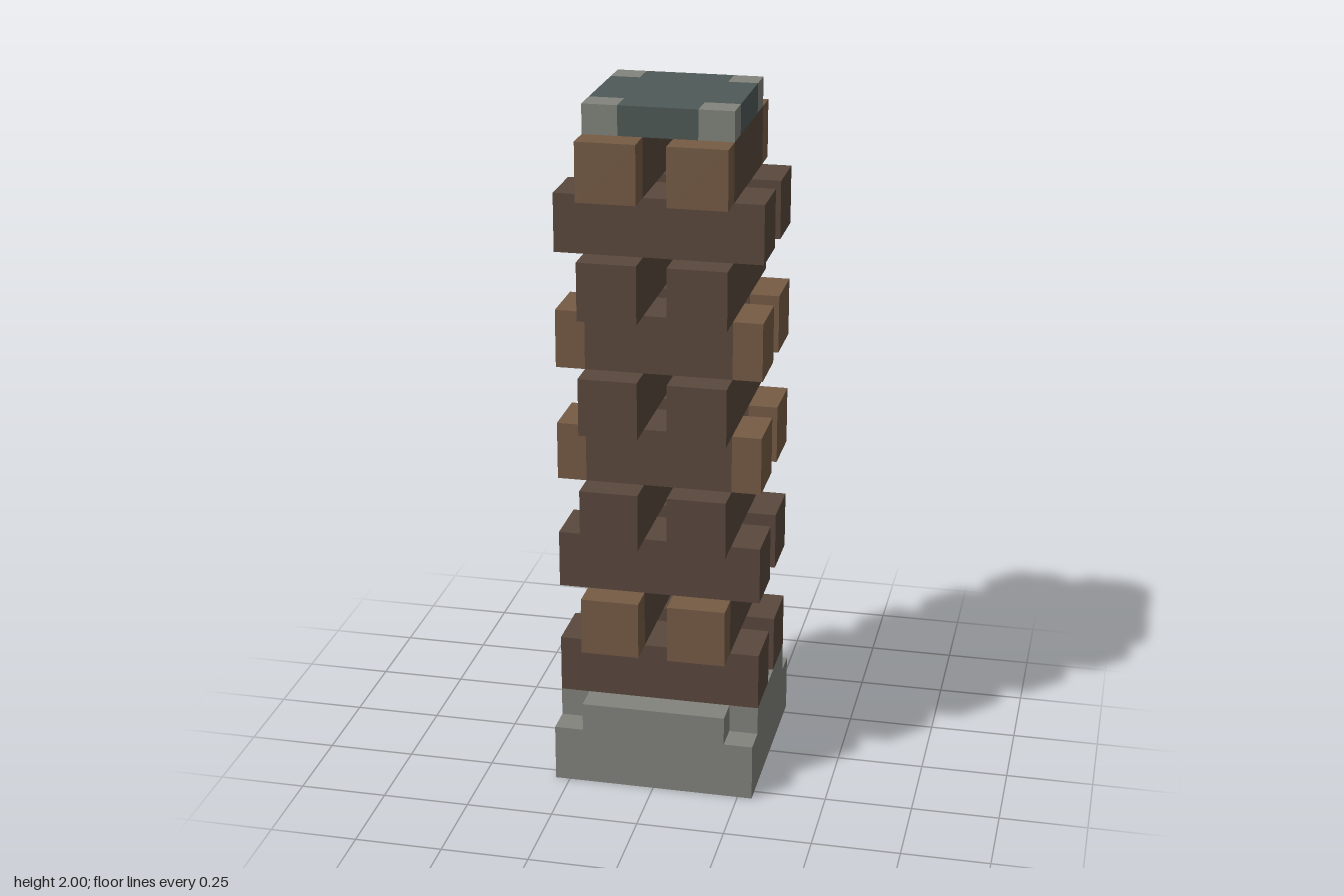
import * as THREE from 'three';

const U = 1 / 12; // building unit

function makeMaterial(name, color) {
  const m = new THREE.MeshStandardMaterial({ color });
  m.name = name;
  return m;
}

// Cross-shaped plate: rectangle of half size h with a notch at each corner.
// The notch starts at x = xf (front) or xb (back), and at |z| = zi.
function crossPlate(h, xf, xb, zi, height) {
  const s = new THREE.Shape([
    [-xf, -h], [xf, -h], [xf, -zi], [h, -zi], [h, zi], [xb, zi],
    [xb, h], [-xb, h], [-xb, zi], [-h, zi], [-h, -zi], [-xf, -zi],
  ].map(([x, y]) => new THREE.Vector2(x, y)));
  return new THREE.ExtrudeGeometry(s, { depth: height, bevelEnabled: false }).rotateX(-Math.PI / 2);
}

export function createModel() {
  const stone = makeMaterial('grey stone', 0x81837c);
  const slate = makeMaterial('dark slate', 0x4f5957);
  const bark = makeMaterial('dark wood', 0x5a483d);
  const cut = makeMaterial('light wood', 0x755b45);

  const root = new THREE.Group();
  root.name = 'stackedBeamPillar';

  const add = (parent, name, geometry, material, x, y, z) => {
    const mesh = new THREE.Mesh(geometry, material);
    mesh.name = name;
    mesh.position.set(x, y, z);
    parent.add(mesh);
  };
  const box = (parent, name, material, w, h, d, x, y, z) =>
    add(parent, name, new THREE.BoxGeometry(w, h, d), material, x, y, z);

  // Stone foot with notched upper corners
  box(root, 'footSlab', stone, 7 * U, 2 * U, 7 * U, 0, U, 0);
  add(root, 'footStep', crossPlate(3.5 * U, 2.5 * U, 2.5 * U, 2.5 * U, U), stone, 0, 2 * U, 0);

  // Crossed beam layers, bottom to top: direction and whether the ends are light
  const layers = [
    ['x', false], ['z', true], ['x', false], ['z', false], ['x', true],
    ['z', false], ['x', true], ['z', false], ['x', false], ['z', true],
  ];
  layers.forEach(([axis, lightEnds], i) => {
    const layer = new THREE.Group();
    layer.name = `beamLayer${i + 1}`;
    layer.position.y = (4 + 2 * i) * U;
    if (axis === 'z') layer.rotation.y = Math.PI / 2;
    for (const side of [-1, 1]) {
      const z = side * 1.5 * U;
      box(layer, 'beam', bark, (lightEnds ? 5 : 7) * U, 2 * U, 2 * U, 0, 0, z);
      if (!lightEnds) continue;
      for (const end of [-1, 1]) box(layer, 'beamEnd', cut, U, 2 * U, 2 * U, end * 3 * U, 0, z);
    }
    root.add(layer);
  });

  // Slate cap with stone corners, the front corners slightly wider
  const h = 2.5 * U, xf = 0.11, xb = 0.125, zi = 0.125;
  add(root, 'cap', crossPlate(h, xf, xb, zi, U), slate, 0, 23 * U, 0);
  for (const sx of [-1, 1]) {
    for (const [sz, xi] of [[1, xf], [-1, xb]]) {
      box(root, 'capCorner', stone, h - xi, U, h - zi,
        sx * (h + xi) / 2, 23.5 * U, sz * (h + zi) / 2);
    }
  }
  return root;
}
